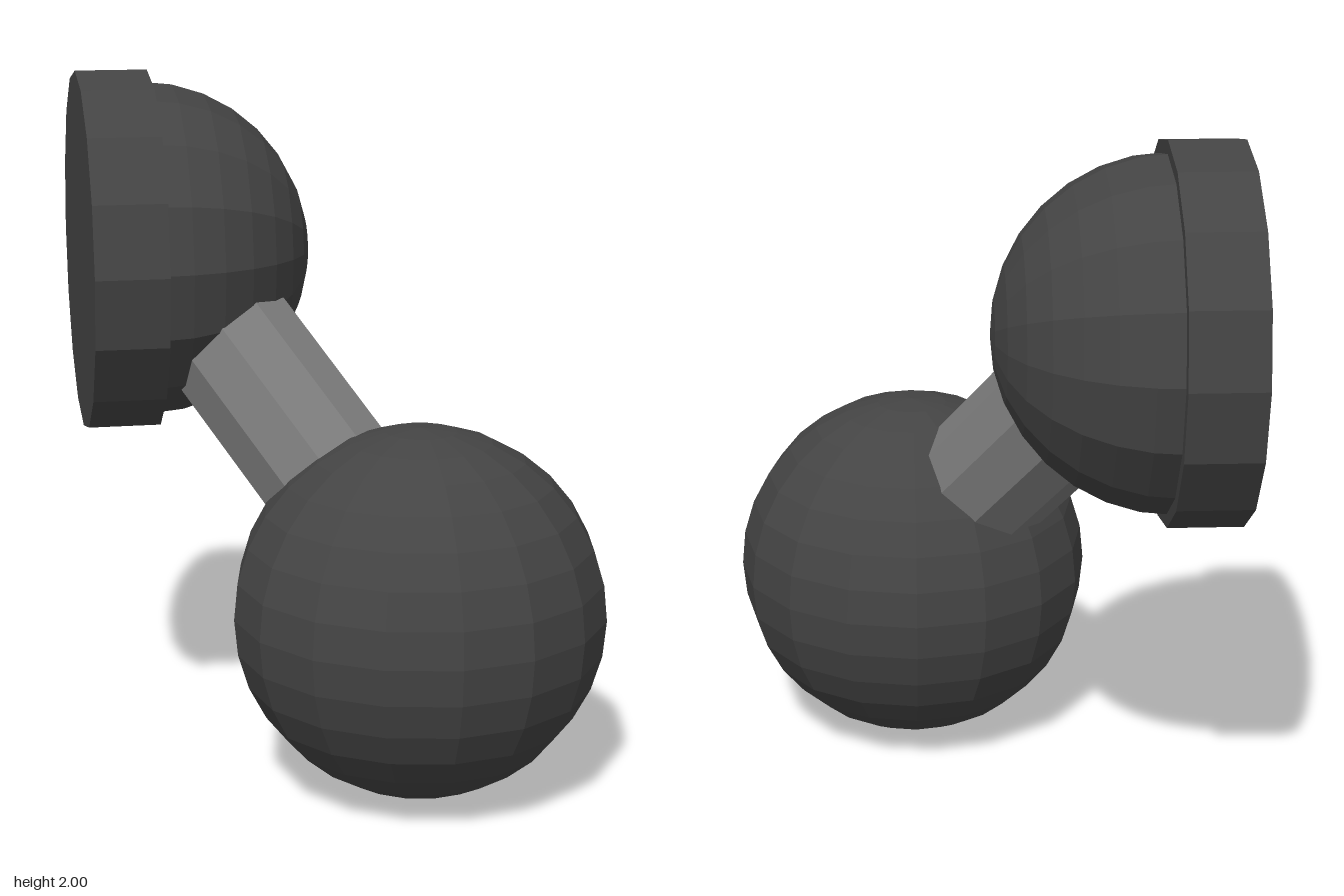
import * as THREE from 'three';

export function createModel() {
  const group = new THREE.Group();
  const dark = new THREE.MeshStandardMaterial({ color: 0x444444, flatShading: true });
  const grey = new THREE.MeshStandardMaterial({ color: 0x7c7c7c, flatShading: true });

  const add = (name, geometry, material, x, y, z) => {
    const mesh = new THREE.Mesh(geometry, material);
    mesh.name = name;
    mesh.position.set(x, y, z);
    group.add(mesh);
    return mesh;
  };

  // Lower ball
  add('ball', new THREE.SphereGeometry(0.53, 16, 16), dark, 0.17, 0.53, 0.35);

  // Wall plate, a short drum whose axis runs along x
  const plate = add('wallPlate', new THREE.CylinderGeometry(0.53, 0.53, 0.21, 16), dark, -0.605, 1.47, -0.355);
  plate.rotation.z = -Math.PI / 2;

  // Dome on the plate, its pole pointing to +x
  const dome = add('dome',
    new THREE.SphereGeometry(0.495, 16, 8, 0, Math.PI * 2, 0, Math.PI / 2), dark, -0.525, 1.47, -0.355);
  dome.rotation.z = -Math.PI / 2;

  // Ten-sided rod joining ball and dome, rising at 45 degrees toward the back right
  const rod = add('connectingRod',
    new THREE.CylinderGeometry(0.208, 0.208, 0.85, 10, 1, false, Math.PI / 10), grey, -0.14, 1.01, 0.04);
  const axis = new THREE.Vector3(-0.5, Math.SQRT1_2, -0.5);
  const up = new THREE.Vector3(0.5, Math.SQRT1_2, 0.5);
  const side = new THREE.Vector3().crossVectors(axis, up);
  rod.quaternion.setFromRotationMatrix(new THREE.Matrix4().makeBasis(side, axis, up));

  return group;
}
